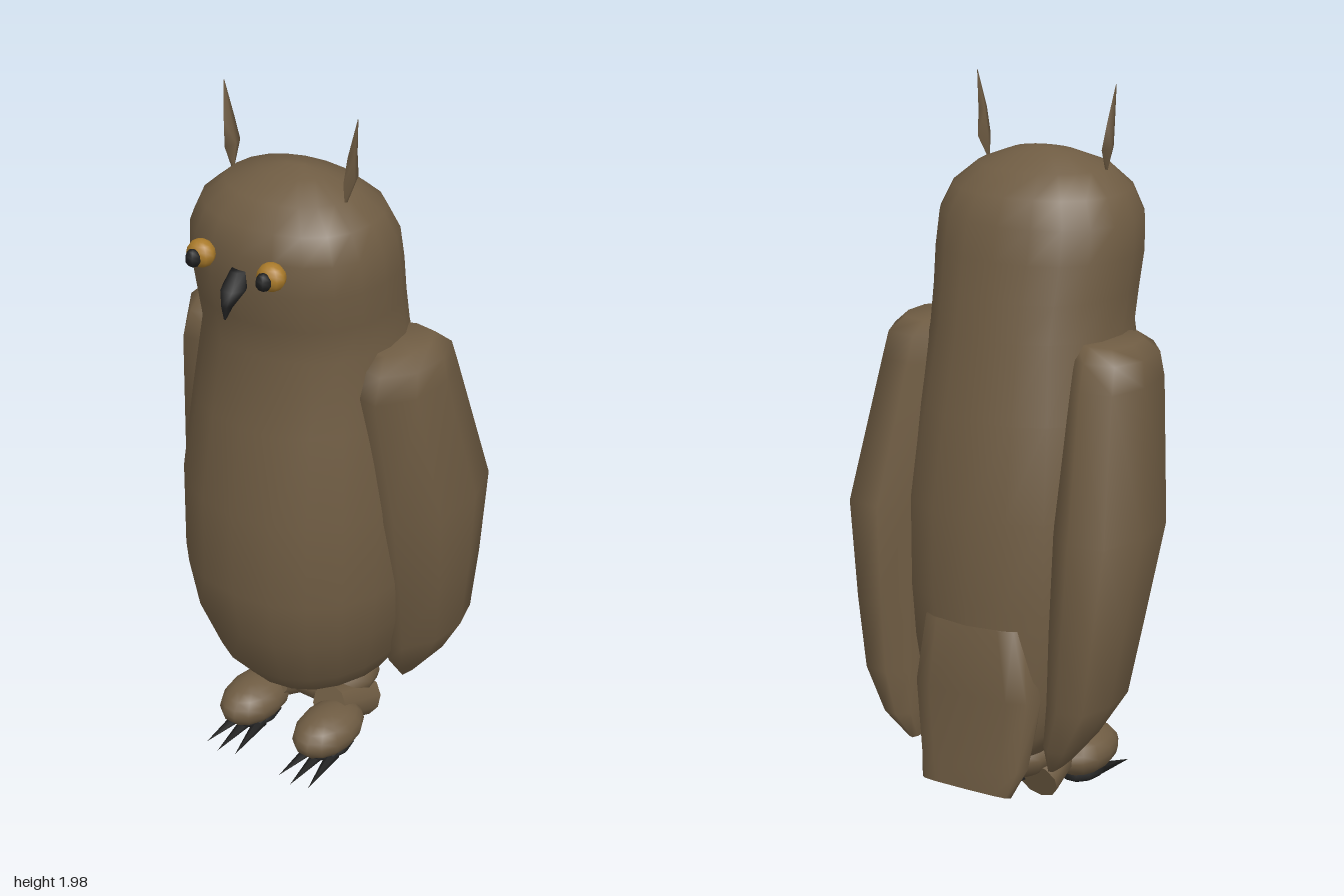
import * as THREE from 'three';

const mat = (name, color) => Object.assign(new THREE.MeshStandardMaterial({ color }), { name });

// Skin over rings of [x, y, z], listed bottom to top; side = -1 mirrors in x
function loft(rings, side = 1) {
  const n = rings[0].length, pos = [], idx = [];
  const tri = (a, b, c) => (side > 0 ? idx.push(a, b, c) : idx.push(a, c, b));
  rings.forEach(r => r.forEach(p => pos.push(p[0] * side, p[1], p[2])));
  for (let i = 0; i < rings.length - 1; i++) {
    for (let j = 0; j < n; j++) {
      const a = i * n + j, b = i * n + (j + 1) % n;
      tri(a, a + n, b);
      tri(b, a + n, b + n);
    }
  }
  // close both ends with a fan round the ring's middle
  [0, rings.length - 1].forEach((i, end) => {
    const mid = [0, 1, 2].map(k => rings[i].reduce((s, p) => s + p[k], 0) / n);
    const c = pos.length / 3;
    pos.push(mid[0] * side, mid[1], mid[2]);
    for (let j = 0; j < n; j++) {
      const a = i * n + j, b = i * n + (j + 1) % n;
      if (end) tri(a, c, b); else tri(a, b, c);
    }
  });
  const g = new THREE.BufferGeometry();
  g.setAttribute('position', new THREE.Float32BufferAttribute(pos, 3));
  g.setIndex(idx);
  g.computeVertexNormals();
  return g;
}

// Rounded ring between front and back z, half width rx, centred on cx
function oval(y, rx, zf, zb, n = 20, power = 2.2, cx = 0) {
  const bend = v => Math.sign(v) * Math.abs(v) ** (2 / power);
  return Array.from({ length: n }, (_, j) => {
    const a = (j / n) * Math.PI * 2;
    return [cx + rx * bend(Math.cos(a)), y, (zf + zb) / 2 + (zf - zb) / 2 * bend(Math.sin(a))];
  });
}

// Wing ring: outer side, front edge, inner side, back edge
function wingRing([y, xo, zf, zb, xi]) {
  const w = zf - zb, t = xo - xi;
  return [
    [xo, y, zb + w * 0.35], [xo - t * 0.04, y, zf - w * 0.28], [xo - t * 0.35, y, zf],
    [xi + t * 0.15, y, zf - w * 0.06], [xi, y, zf - w * 0.45], [xi + t * 0.1, y, zb + w * 0.12],
    [xi + t * 0.4, y, zb], [xo - t * 0.18, y, zb + w * 0.04],
  ];
}

export function createModel() {
  const owl = new THREE.Group();
  owl.name = 'owl';
  const brown = mat('brown feathers', 0x6f5c43);
  const amber = mat('amber eyes', 0xa97a2a);
  const black = mat('black horn', 0x1f1f1f);

  const add = (name, geo, material, x = 0, y = 0, z = 0) => {
    const m = new THREE.Mesh(geo, material);
    m.name = name;
    m.position.set(x, y, z);
    owl.add(m);
    return m;
  };
  const ball = (rx, ry, rz, w = 14, h = 10) => new THREE.SphereGeometry(1, w, h).scale(rx, ry, rz);

  // Body and head in one skin: y, half width, front z, back z
  add('body', loft([
    [0.18, 0.11, 0.0, -0.27], [0.21, 0.155, 0.06, -0.335], [0.27, 0.2, 0.18, -0.345],
    [0.35, 0.25, 0.25, -0.345], [0.5, 0.3, 0.31, -0.345], [0.65, 0.325, 0.337, -0.345],
    [0.9, 0.325, 0.337, -0.342], [1.15, 0.3, 0.295, -0.29], [1.36, 0.272, 0.262, -0.245],
    [1.46, 0.275, 0.28, -0.222], [1.56, 0.282, 0.294, -0.2], [1.65, 0.278, 0.293, -0.18],
    [1.72, 0.245, 0.268, -0.145], [1.775, 0.18, 0.215, -0.08], [1.81, 0.09, 0.13, -0.005],
    [1.822, 0.03, 0.07, 0.04],
  ].map(r => oval(...r))), brown);

  // Flat tail below the back
  add('tail', loft([
    [0.13, 0.14, -0.335, -0.36], [0.2, 0.165, -0.25, -0.352],
    [0.4, 0.19, -0.2, -0.348], [0.6, 0.15, -0.24, -0.345],
  ].map(r => oval(...r, 12, 3))), brown);

  // Rump between the legs, with its dark underside
  add('rump', ball(0.145, 0.085, 0.14), brown, 0, 0.165, -0.11);
  add('rumpUnderside', new THREE.CylinderGeometry(0.06, 0.06, 0.008, 12), black, 0, 0.081, -0.12);

  // Beak hooked forwards and down
  add('beak', loft([
    [1.495, 0.003, 0.353, 0.347], [1.53, 0.016, 0.357, 0.318],
    [1.57, 0.036, 0.35, 0.27], [1.612, 0.022, 0.315, 0.27],
  ].map(r => oval(...r, 6, 2))), black);

  for (const s of [1, -1]) {
    const side = s > 0 ? 'left' : 'right';

    // Folded wing: y, outer x, front z, back z, inner x
    add(side + 'Wing', loft([
      [0.2, 0.235, -0.15, -0.28, 0.205], [0.28, 0.3, -0.08, -0.325, 0.2],
      [0.4, 0.37, -0.02, -0.328, 0.2], [0.6, 0.4, 0.025, -0.328, 0.2],
      [0.87, 0.435, 0.095, -0.318, 0.2], [1.25, 0.39, 0.137, -0.205, 0.18],
      [1.32, 0.382, 0.11, -0.18, 0.18], [1.355, 0.345, 0.06, -0.14, 0.19],
    ].map(wingRing), s), brown);

    // Ear tuft: a thin leaf leaning outwards
    add(side + 'EarTuft', loft([
      [1.77, 0.004, 0.088, 0.075, 0.18], [1.83, 0.012, 0.105, 0.04, 0.188],
      [1.9, 0.007, 0.098, 0.055, 0.195], [2.0, 0.001, 0.077, 0.074, 0.21],
    ].map(([y, rx, zf, zb, cx]) => oval(y, rx, zf, zb, 4, 2, cx)), s), brown);

    // Eye and pupil
    add(side + 'Eye', ball(0.04, 0.038, 0.035, 10, 8), amber, s * 0.112, 1.63, 0.302);
    add(side + 'Pupil', ball(0.023, 0.025, 0.022, 6, 5), black, s * 0.112, 1.628, 0.334);

    // Leg, rounded foot and dark sole
    const leg = add(side + 'Leg', new THREE.CylinderGeometry(0.055, 0.06, 0.18, 10), brown, s * 0.1, 0.12, -0.05);
    leg.rotation.x = 1.2;
    add(side + 'Foot', ball(0.083, 0.066, 0.13), brown, s * 0.13, 0.107, 0.078);
    add(side + 'Sole', ball(0.06, 0.02, 0.085, 10, 6), black, s * 0.13, 0.046, 0.07);

    // Three talons fanned forwards
    for (const k of [-1, 0, 1]) {
      const talon = new THREE.ConeGeometry(0.019, 0.15, 6).rotateX(Math.PI / 2 + 0.17);
      talon.rotateY(k * 0.12);
      add(side + 'Talon', talon, black, s * 0.13 + k * 0.042, 0.03, 0.185 - Math.abs(k) * 0.015);
    }
  }
  return owl;
}
